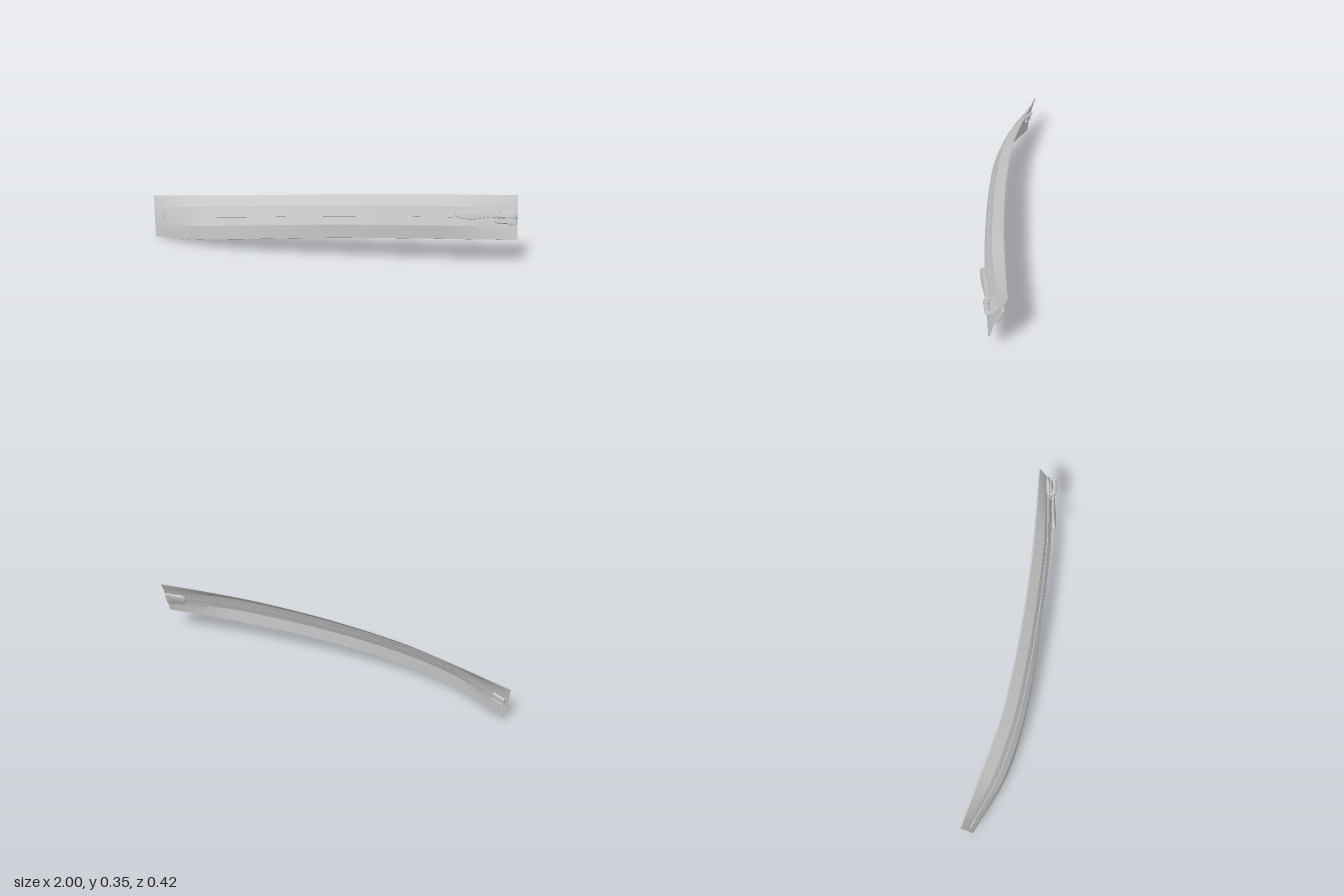
import * as THREE from 'three';
import { toCreasedNormals } from 'three/addons/utils/BufferGeometryUtils.js';

// Upper and lower tape edges as [x, y, z]
const TOP = [[-1, .225, -.212], [-.6, .268, -.085], [-.4, .288, -.03], [0, .32, .035], [.4, .341, .075], [.7, .349, .09], [1, .353, .097]];
const LOW = [[-1, .001, -.16], [-.7, .04, .0], [-.4, .075, .08], [0, .108, .133], [.4, .126, .165], [.7, .133, .178], [1, .136, .18]];

const curve = rows => new THREE.CatmullRomCurve3(rows.map(r => new THREE.Vector3(...r)), false, 'centripetal');
const topCurve = curve(TOP), lowCurve = curve(LOW);

// Point of a curve at a given x, by bisection
function at(c, x) {
  let a = 0, b = 1;
  for (let i = 0; i < 24; i++) {
    const m = (a + b) / 2;
    if (c.getPoint(m).x < x) a = m; else b = m;
  }
  return c.getPoint((a + b) / 2);
}

// The folded middle flattens out towards both ends
function bulge(x) {
  const end = x > .6 ? (x - .6) / .4 : x < -.72 ? (-.72 - x) / .28 : 0;
  return .03 - .023 * end;
}

// Point on the tape: u runs from the top edge to the bottom edge, d is the offset to the front
function onTape(x, u, d = 0) {
  const t = at(topCurve, x), l = at(lowCurve, x);
  const n = new THREE.Vector3(0, l.z - t.z, t.y - l.y).normalize();
  const fold = u < .28 ? u / .28 : u > .72 ? (1 - u) / .28 : 1;
  const p = t.lerp(l, u).addScaledVector(n, bulge(x) * fold + d);
  p.x = x + .0075 * (1 - x) * u;
  return p;
}

// Solid strip following the tape through a closed loop of [u, d] pairs
function strip(loop, x0, x1, steps) {
  const pos = [], idx = [], n = loop.length;
  for (let i = 0; i <= steps; i++) {
    const x = x0 + (x1 - x0) * i / steps;
    for (const [u, d] of loop) pos.push(...onTape(x, u, d).toArray());
  }
  for (let i = 0; i < steps; i++) for (let j = 0; j < n; j++) {
    const a = i * n + j, b = i * n + (j + 1) % n;
    idx.push(a, b, a + n, b, b + n, a + n);
  }
  // caps pair the front half of the loop with the back half
  const e = steps * n;
  for (let j = 0; j < n / 2 - 1; j++) {
    const k = n - 1 - j;
    idx.push(j, k, j + 1, j + 1, k, k - 1);
    idx.push(e + j, e + j + 1, e + k, e + j + 1, e + k - 1, e + k);
  }
  const g = new THREE.BufferGeometry();
  g.setAttribute('position', new THREE.Float32BufferAttribute(pos, 3));
  g.setIndex(idx);
  return toCreasedNormals(g, .3);
}

// Loop made from a list of u values with front and back offsets
const band = (us, front, back) => [...us.map(u => [u, front]), ...us.slice().reverse().map(u => [u, back])];

// Group whose x, y, z run along, across and out of the tape
function frame(name, x, u) {
  const g = new THREE.Group();
  g.name = name;
  const along = onTape(Math.min(x + .05, 1), u).sub(onTape(Math.max(x - .05, -1), u)).normalize();
  const up = onTape(x, .3).sub(onTape(x, .7)).normalize();
  const out = along.clone().cross(up).normalize();
  up.crossVectors(out, along);
  g.quaternion.setFromRotationMatrix(new THREE.Matrix4().makeBasis(along, up, out));
  g.position.copy(onTape(x, u));
  return g;
}

function outline(points) {
  return new THREE.Shape(points.map(p => new THREE.Vector2(...p)));
}

function plate(shape, depth, bevel = .003) {
  return toCreasedNormals(new THREE.ExtrudeGeometry(shape, {
    depth, bevelEnabled: bevel > 0, bevelSize: bevel, bevelThickness: bevel, bevelSegments: 2, curveSegments: 10,
  }), .6);
}

export function createModel() {
  const model = new THREE.Group();
  model.name = 'zipper';
  const grey = new THREE.MeshStandardMaterial({ color: 0xc6c6c6 });
  grey.name = 'grey';
  const add = (parent, name, geometry, x = 0, y = 0, z = 0) => {
    const m = new THREE.Mesh(geometry, grey);
    m.name = name;
    m.position.set(x, y, z);
    parent.add(m);
    return m;
  };

  // Two tape halves with a narrow gap between them
  add(model, 'upperTape', strip(band([0, .14, .28, .4, .497], .004, -.004), -1, 1, 50));
  add(model, 'lowerTape', strip(band([.503, .6, .72, .86, 1], .004, -.004), -1, 1, 50));

  // Closed row of teeth
  add(model, 'teethRow', strip(band([.47, .53], .008, -.002), -.97, .92, 50));

  // Slider: two shield plates joined by a post
  const slider = frame('slider', .935, .5);
  const shield = outline([[-.055, -.024], [-.035, -.032], [.01, -.03], [.03, -.043], [.055, -.036],
    [.055, .036], [.03, .043], [.01, .03], [-.035, .032], [-.055, .024]]);
  add(slider, 'frontPlate', plate(shield, .006), 0, 0, .012);
  add(slider, 'backPlate', plate(shield, .006), 0, 0, -.022);
  add(slider, 'post', new THREE.BoxGeometry(.025, .02, .036), .035, 0, -.002);
  for (const s of [-1, 1]) {
    add(slider, 'frontFlange', new THREE.BoxGeometry(.07, .006, .012), -.01, s * .032, .012);
    add(slider, 'backFlange', new THREE.BoxGeometry(.07, .006, .01), -.01, s * .032, -.017);
  }

  // Bridge holding the pull tab
  const arch = outline([[-.05, 0], [-.05, .02], [-.038, .031], [.04, .031], [.058, .02], [.058, 0]]);
  arch.holes.push(outline([[-.038, .004], [.046, .004], [.046, .016], [.036, .023], [-.032, .023], [-.038, .016]]));
  const bridge = plate(arch, .02, .002);
  bridge.rotateX(Math.PI / 2);
  add(slider, 'bridge', bridge, 0, .014, .02);

  // Teardrop pull tab with a cross bar under the bridge
  const tab = new THREE.Shape();
  tab.moveTo(-.025, -.008);
  tab.lineTo(-.08, -.008);
  tab.bezierCurveTo(-.13, -.014, -.15, -.021, -.2, -.019);
  tab.bezierCurveTo(-.278, -.016, -.278, .016, -.2, .019);
  tab.bezierCurveTo(-.15, .021, -.13, .014, -.08, .008);
  tab.lineTo(-.025, .008);
  const pull = add(slider, 'pullTab', plate(tab, .006, .003), 0, .004, .031);
  pull.rotation.y = .03;
  const bar = add(slider, 'pullBar', new THREE.CylinderGeometry(.006, .006, .05, 12), -.026, .004, .034);
  bar.name = 'pullBar';
  model.add(slider);

  // Bottom stop gripping both halves
  const stop = frame('bottomStop', -.955, .5);
  add(stop, 'stopBack', new THREE.BoxGeometry(.07, .046, .008), 0, 0, -.009);
  add(stop, 'stopFront', new THREE.BoxGeometry(.05, .022, .006), -.005, 0, .007);
  for (const s of [-1, 1]) add(stop, 'stopLip', new THREE.BoxGeometry(.07, .008, .012), 0, s * .02, -.013);
  model.add(stop);

  return model;
}
